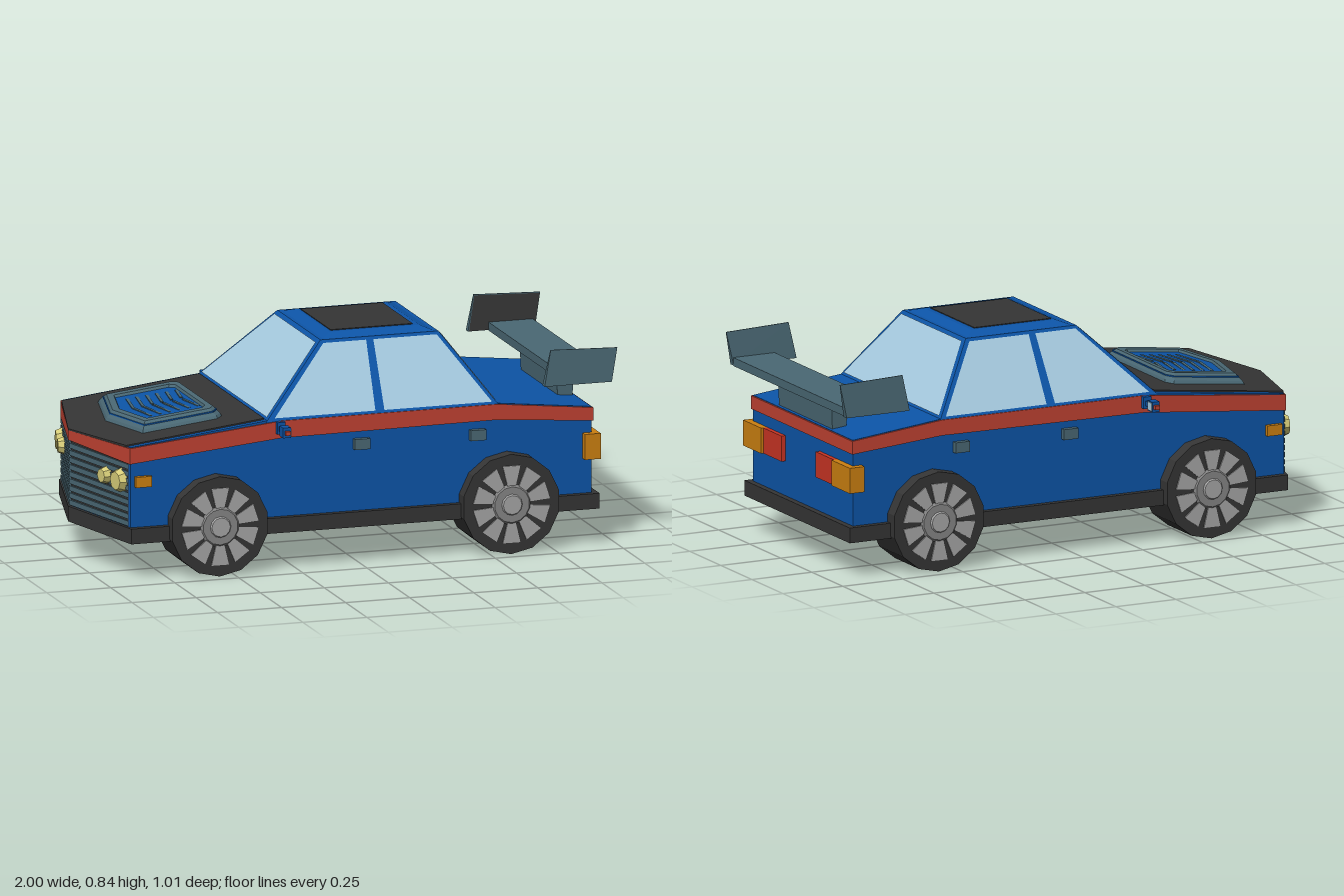
import * as THREE from 'three';

const mat = (name, color, side = THREE.FrontSide) => {
  const m = new THREE.MeshStandardMaterial({ color, side });
  m.name = name;
  return m;
};

// Skin between rings of equal point count, closed at both ends, with flat faces
function skin(rings, capEnd = true) {
  const p = [], n = rings[0].length;
  const tri = (a, b, c) => p.push(...a, ...b, ...c);
  for (let r = 0; r < rings.length - 1; r++) {
    for (let i = 0; i < n; i++) {
      const j = (i + 1) % n, A = rings[r], B = rings[r + 1];
      tri(A[i], A[j], B[j]);
      tri(A[i], B[j], B[i]);
    }
  }
  const first = rings[0], last = rings[rings.length - 1];
  for (let i = 1; i < n - 1; i++) {
    tri(first[0], first[i + 1], first[i]);
    if (capEnd) tri(last[0], last[i], last[i + 1]);
  }
  const g = new THREE.BufferGeometry();
  g.setAttribute('position', new THREE.Float32BufferAttribute(p, 3));
  g.computeVertexNormals();
  return g;
}

// Lengthwise loft: each section is [x, half width, bottom, top]
const loft = (sections) => skin(sections.map(([x, w, b, t]) => [[x, t, w], [x, b, w], [x, b, -w], [x, t, -w]]));
const rect = (x0, x1, z0, z1, y) => [[x0, y, z1], [x1, y, z1], [x1, y, z0], [x0, y, z0]];
const box = (x0, x1, y0, y1, z0, z1) => skin([rect(x0, x1, z0, z1, y0), rect(x0, x1, z0, z1, y1)]);

function pane(pts) {
  const p = [];
  for (let i = 1; i < pts.length - 1; i++) p.push(...pts[0], ...pts[i], ...pts[i + 1]);
  const g = new THREE.BufferGeometry();
  g.setAttribute('position', new THREE.Float32BufferAttribute(p, 3));
  g.computeVertexNormals();
  return g;
}

export function createModel() {
  const blue = mat('body blue', 0x0d55a8), stripe = mat('stripe red', 0xc04232);
  const glass = mat('window glass', 0xa6cbe0, THREE.DoubleSide), teal = mat('slate teal', 0x4a6874);
  const dark = mat('dark trim', 0x353535), orange = mat('indicator orange', 0xcc8011);
  const lampRed = mat('lamp red', 0xc93423), yellow = mat('headlight yellow', 0xd6cc78);
  const silver = mat('spoke silver', 0xa6a6a6), grey = mat('hub grey', 0x858585);

  const car = new THREE.Group();
  car.name = 'car';
  const add = (name, geo, m, parent = car) => {
    const mesh = new THREE.Mesh(geo, m);
    mesh.name = name;
    parent.add(mesh);
    return mesh;
  };

  // Lower body with a pointed nose
  add('sill', loft([[-1, 0.001, 0.14, 0.198], [-0.895, 0.425, 0.14, 0.198], [0.932, 0.425, 0.14, 0.198]]), dark);
  add('body', loft([[-0.985, 0.001, 0.19, 0.488], [-0.89, 0.402, 0.19, 0.503], [-0.36, 0.402, 0.19, 0.565],
    [0.54, 0.402, 0.19, 0.565], [0.908, 0.402, 0.19, 0.525]]), blue);
  add('stripe', loft([[-1, 0.001, 0.45, 0.487], [-0.895, 0.408, 0.44, 0.5], [-0.3, 0.408, 0.497, 0.562],
    [0.54, 0.408, 0.503, 0.562], [0.913, 0.408, 0.472, 0.522]]), stripe);
  add('hood', loft([[-1, 0.001, 0.47, 0.493], [-0.9, 0.38, 0.48, 0.507], [-0.362, 0.38, 0.53, 0.57]]), dark);

  // Grille
  add('grilleBacking', loft([[-0.988, 0.001, 0.2, 0.45], [-0.895, 0.392, 0.2, 0.45]]), dark);
  for (let i = 0; i < 9; i++) {
    const y = 0.203 + i * 0.027;
    add('grilleSlat', loft([[-0.996, 0.001, y, y + 0.019], [-0.898, 0.395, y, y + 0.019]]), teal);
  }

  // Cabin, with glass set on each sloping face
  add('cabin', skin([rect(-0.362, 0.545, -0.405, 0.405, 0.56), rect(-0.1, 0.36, -0.253, 0.253, 0.82)]), blue);
  add('roof', skin([rect(-0.09, 0.35, -0.245, 0.245, 0.818), rect(-0.045, 0.305, -0.195, 0.195, 0.834)]), blue);
  add('sunroof', box(-0.035, 0.285, -0 + 0.83, 0.837, -0.177, 0.177), dark);
  const rise = (y) => (y - 0.56) / 0.26;
  const frontX = (y) => -0.367 + 0.262 * rise(y), rearX = (y) => 0.55 - 0.185 * rise(y);
  const sideZ = (y) => 0.409 - 0.152 * rise(y);
  const endGlass = [[0.385, 0.574], [0.242, 0.81], [-0.242, 0.81], [-0.385, 0.574]];
  add('windshield', pane(endGlass.map(([z, y]) => [frontX(y), y, -z])), glass);
  add('rearWindow', pane(endGlass.map(([z, y]) => [rearX(y), y, z])), glass);
  const sideGlass = {
    frontSideWindow: [[-0.328, 0.572], [0.065, 0.572], [0.075, 0.81], [-0.092, 0.81]],
    rearSideWindow: [[0.1, 0.572], [0.52, 0.572], [0.35, 0.81], [0.103, 0.81]],
  };

  // Hood scoop following the slope of the hood
  const plan = [[-0.86, 0], [-0.8, 0.27], [-0.5, 0.27], [-0.475, 0.24], [-0.475, -0.24], [-0.5, -0.27], [-0.8, -0.27]];
  const hoodY = (x) => 0.61 + 0.115 * x;
  const scoopRing = (s, h) => plan.map(([x, z]) => {
    const px = -0.65 + (x + 0.65) * s;
    return [px, hoodY(px) + h, z * s];
  });
  const floor = scoopRing(0.67, 0.017);
  add('scoopFrame', skin([scoopRing(1, -0.01), scoopRing(0.95, 0.012), scoopRing(0.84, 0.036), scoopRing(0.72, 0.036), floor], false), teal);
  add('scoopFloor', pane(floor), blue);
  add('scoopBand', skin([scoopRing(0.91, 0.01), scoopRing(0.9, 0.0265)]), blue);
  for (let i = 0; i < 6; i++) {
    for (const s of [1, -1]) {
      const x = -0.735 + i * 0.038;
      const slat = add('scoopSlat', new THREE.BoxGeometry(0.011, 0.014, 0.15 - i * 0.006), teal);
      slat.position.set(x, hoodY(x) + 0.022, s * 0.072);
      slat.rotation.y = s * 0.16;
    }
  }

  // Wheels
  const disc = (r0, r1, h, n) => new THREE.CylinderGeometry(r1, r0, h, n).toNonIndexed().rotateX(Math.PI / 2);
  const spoke = new THREE.Shape([[0.07, -0.016], [0.146, -0.034], [0.146, 0.034], [0.07, 0.016]].map((q) => new THREE.Vector2(...q)));
  const spokeGeo = new THREE.ExtrudeGeometry(spoke, { depth: 0.006, bevelEnabled: false });
  function wheel(x, s) {
    const w = new THREE.Group();
    w.name = 'wheel';
    const put = (name, geo, m, z) => { geo.computeVertexNormals(); add(name, geo, m, w).position.z = z; };
    put('tyre', disc(0.19, 0.19, 0.193, 14), dark, 0);
    for (let i = 0; i < 10; i++) {
      const sp = add('spoke', spokeGeo, silver, w);
      sp.position.z = 0.095;
      sp.rotation.z = (i + 0.5) * Math.PI / 5;
    }
    put('hub', disc(0.08, 0.068, 0.012, 14), grey, 0.1);
    put('hubCap', disc(0.042, 0.036, 0.008, 12), silver, 0.108);
    w.position.set(x, 0.19, s * 0.36);
    if (s < 0) w.rotation.y = Math.PI;
    car.add(w);
  }

  // Parts repeated on both sides
  for (const s of [1, -1]) {
    const sideBox = (name, m, x0, x1, y0, y1, z0, z1) =>
      add(name, box(x0, x1, y0, y1, Math.min(s * z0, s * z1), Math.max(s * z0, s * z1)), m);
    for (const [name, pts] of Object.entries(sideGlass)) {
      const q = pts.map(([x, y]) => [x, y, s * sideZ(y)]);
      add(name, pane(s > 0 ? q : q.reverse()), glass);
    }
    wheel(-0.56, s);
    wheel(0.577, s);
    for (const x of [-0.022, 0.43]) sideBox('doorHandle', teal, x, x + 0.06, 0.433, 0.473, 0.39, 0.424);
    sideBox('frontIndicator', orange, -0.875, -0.812, 0.352, 0.392, 0.39, 0.42);
    sideBox('rearIndicator', orange, 0.873, 0.935, 0.33, 0.427, 0.283, 0.43);
    sideBox('tailLamp', lampRed, 0.89, 0.926, 0.33, 0.427, 0.138, 0.283);

    // Mirrors
    sideBox('mirrorArm', blue, -0.318, -0.3, 0.527, 0.545, 0.39, 0.455);
    sideBox('mirrorFoot', blue, -0.325, -0.293, 0.515, 0.56, 0.39, 0.425);
    sideBox('mirrorHousing', blue, -0.325, -0.295, 0.516, 0.555, 0.452, 0.492);
    sideBox('mirrorGlass', glass, -0.296, -0.292, 0.52, 0.551, 0.456, 0.488);
    sideBox('mirrorTip', stripe, -0.318, -0.3, 0.528, 0.543, 0.49, 0.507);

    // Paired headlights on the slanted front
    for (const [z, r] of [[0.345, 0.05], [0.25, 0.037]]) {
      const lamp = new THREE.CylinderGeometry(r * 0.7, r, 0.035, 8).toNonIndexed().rotateZ(Math.PI / 2);
      lamp.computeVertexNormals();
      const mesh = add('headlight', lamp, yellow);
      mesh.position.set(-0.995 + z * 0.25 - 0.008, 0.368, s * z);
      mesh.rotation.y = s * 0.24;
    }

    // Spoiler end plates, tapering upwards
    const [z0, z1, t0, t1] = s > 0 ? [0.452, 0.478, 0.466, 0.47] : [-0.478, -0.452, -0.47, -0.466];
    const shift = s > 0 ? -0.004 : 0.006;
    const top = rect(0.73 + shift, 0.99 + shift, t0, t1, 0.768);
    top[1][1] = top[2][1] = 0.759;
    add('spoilerEndPlate', skin([rect(0.704 + shift, 0.966 + shift, z0, z1, 0.632), top]), teal);
  }
  add('endPlateLining', pane([[0.713, 0.634, -0.449], [0.969, 0.634, -0.449], [0.993, 0.756, -0.463], [0.738, 0.765, -0.463]]), dark);

  // Spoiler wing and post
  add('spoilerWing', box(0.79, 0.962, 0.63, 0.662, -0.455, 0.455), teal);
  add('spoilerPost', skin([rect(0.838, 0.896, -0.215, 0.215, 0.52), rect(0.832, 0.9, -0.215, 0.215, 0.635)]), teal);

  return car;
}
